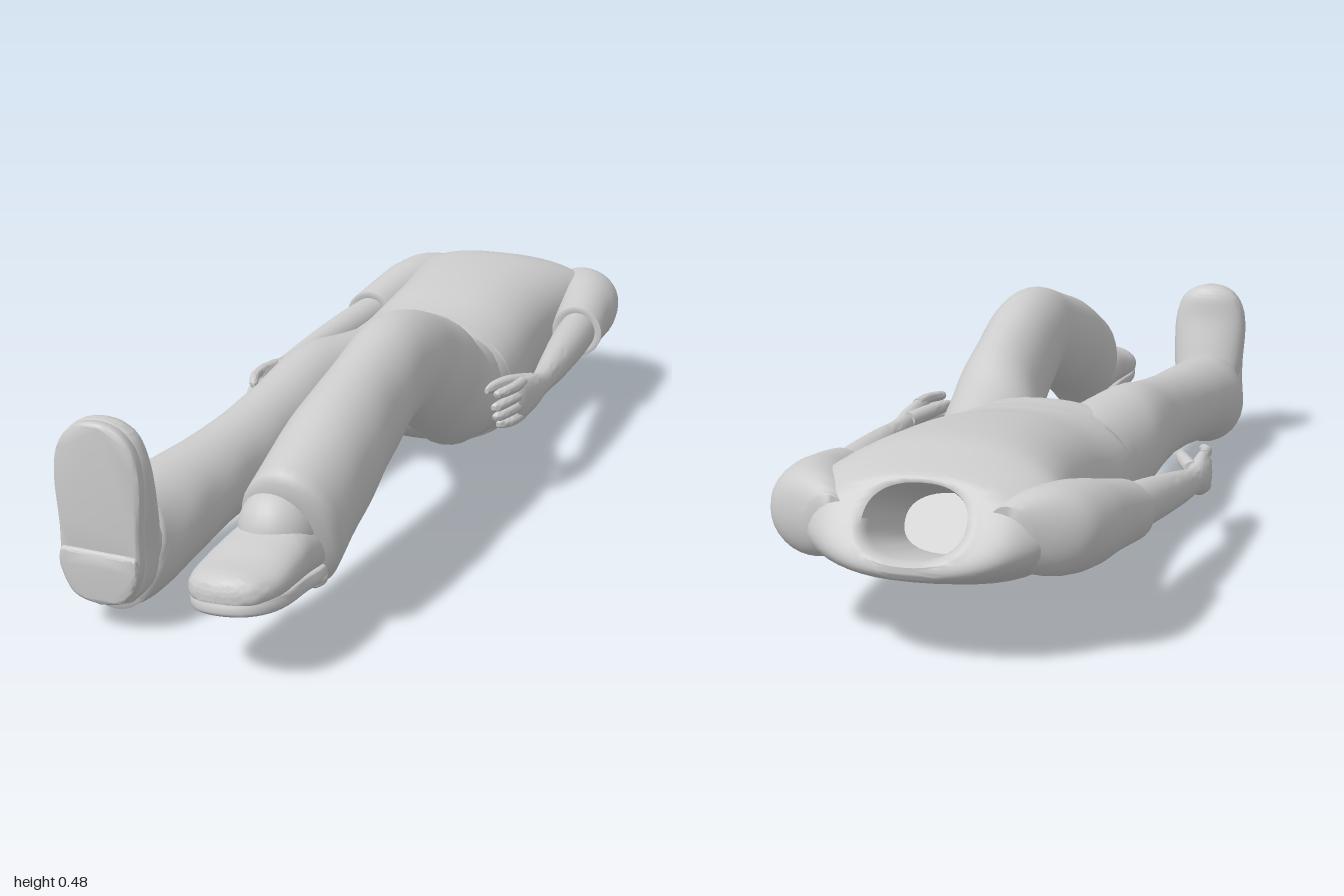
import * as THREE from 'three';
import { toCreasedNormals } from 'three/addons/utils/BufferGeometryUtils.js';

const grey = new THREE.MeshStandardMaterial({ color: 0xcccccc, side: THREE.DoubleSide });

function mesh(name, geometry) {
  const m = new THREE.Mesh(geometry, grey);
  m.name = name;
  return m;
}

// Smooth interpolation of one channel through four neighbouring stations
function spline(a, b, c, d, t) {
  const m0 = (c - a) / 2, m1 = (d - b) / 2, t2 = t * t, t3 = t2 * t;
  return (2 * t3 - 3 * t2 + 1) * b + (t3 - 2 * t2 + t) * m0 + (3 * t2 - 2 * t3) * c + (t3 - t2) * m1;
}

// Skin through oval rings. Station: [x, y, z, half width, half height, tilt about x].
// lead and hem are extra rings joined straight on, for folded-in edges.
function loft(name, stations, { sides = 32, steps = 6, power = 2, lead = [], hem = [], folds = 0 } = {}) {
  const at = i => stations[Math.min(Math.max(i, 0), stations.length - 1)];
  const rings = [...lead];
  for (let i = 0; i < stations.length - 1; i++) {
    for (let k = 0; k < steps; k++) {
      rings.push([0, 1, 2, 3, 4, 5].map(c =>
        spline(at(i - 1)[c] || 0, at(i)[c] || 0, at(i + 1)[c] || 0, at(i + 2)[c] || 0, k / steps)));
    }
  }
  rings.push(at(stations.length), ...hem);

  const pos = [], index = [];
  for (const [x, y, z, rx, ry, tilt = 0] of rings) {
    for (let j = 0; j < sides; j++) {
      const a = j / sides * Math.PI * 2, c = Math.cos(a), s = Math.sin(a);
      const f = 1 + folds * Math.sin(z * 38 + 2 * Math.sin(a * 2)) * (0.6 + 0.4 * c);
      const u = Math.sign(c) * Math.abs(c) ** (2 / power) * rx * f;
      const v = Math.sign(s) * Math.abs(s) ** (2 / power) * ry * f;
      pos.push(x + u, y + v * Math.cos(tilt), z + v * Math.sin(tilt));
    }
  }
  const last = rings.length - 1;
  for (let i = 0; i < last; i++) {
    for (let j = 0; j < sides; j++) {
      const k = (j + 1) % sides;
      const a = i * sides + j, b = i * sides + k;
      index.push(a, b, a + sides, b, b + sides, a + sides);
    }
  }
  // End caps
  const n = rings.length * sides;
  pos.push(...rings[0].slice(0, 3), ...rings[last].slice(0, 3));
  for (let j = 0; j < sides; j++) {
    const k = (j + 1) % sides;
    index.push(n, k, j, n + 1, last * sides + j, last * sides + k);
  }
  const g = new THREE.BufferGeometry();
  g.setAttribute('position', new THREE.Float32BufferAttribute(pos, 3));
  g.setIndex(index);
  return mesh(name, toCreasedNormals(g, 0.9));
}

// Flat slab from half an outline, mirrored; bottom faces down
function slab(name, half, depth, top) {
  const pts = half.concat(half.slice(1, -1).reverse().map(([x, z]) => [-x, z]));
  const curve = new THREE.SplineCurve([...pts, pts[0]].map(p => new THREE.Vector2(...p)));
  const g = new THREE.ExtrudeGeometry(new THREE.Shape(curve.getPoints(48)), {
    depth, bevelEnabled: true, bevelSize: 0.008, bevelThickness: 0.008, bevelSegments: 3,
  });
  g.rotateX(Math.PI / 2);
  g.translate(0, top, 0);
  return mesh(name, toCreasedNormals(g, 0.9));
}

// Shoe with the heel at z = 0, toe towards +z and sole at y = 0
function shoe(name, length) {
  const g = new THREE.Group();
  g.name = name;
  const stretch = length / 0.36;
  g.add(loft('shoeUpper', [
    [0, 0.042, 0, 0.05, 0.03], [0, 0.06, 0.04, 0.08, 0.05], [0, 0.066, 0.12, 0.086, 0.06],
    [0, 0.058, 0.19, 0.091, 0.052], [0, 0.046, 0.27, 0.091, 0.042], [0, 0.042, 0.325, 0.074, 0.036],
    [0, 0.04, 0.35, 0.045, 0.026], [0, 0.04, 0.359, 0.015, 0.01],
  ].map(([x, y, z, a, b]) => [x, y, z * stretch, a, b]), { power: 2.2 }));
  const outline = rows => rows.map(([x, z]) => [x, z * stretch]);
  g.add(slab('sole', outline([[0, 0.008], [0.05, 0.02], [0.075, 0.07], [0.077, 0.15], [0.083, 0.24],
    [0.074, 0.3], [0.045, 0.338], [0, 0.35]]), 0.012, 0.024));
  g.add(slab('heel', outline([[0, 0.008], [0.05, 0.02], [0.075, 0.065], [0.075, 0.095], [0.065, 0.1], [0, 0.1]]),
    0.004, 0.009));
  const ankle = mesh('ankle', new THREE.SphereGeometry(1, 24, 16));
  ankle.scale.set(0.075, 0.085, 0.08);
  ankle.position.set(0, 0.1, 0.09 * stretch);
  g.add(ankle);
  return g;
}

// Arm written for the left; place() moves every station to its side
function arm(side, place) {
  const g = new THREE.Group();
  g.name = side + 'Arm';
  const part = (name, rows, opt = {}) =>
    g.add(loft(name, rows.map(place), { ...opt, hem: (opt.hem || []).map(place) }));
  part('sleeve', [
    [0.19, 0.24, -0.935, 0.04, 0.05], [0.236, 0.238, -0.885, 0.085, 0.08], [0.264, 0.236, -0.8, 0.083, 0.084],
    [0.284, 0.233, -0.7, 0.069, 0.072], [0.297, 0.226, -0.61, 0.063, 0.063],
  ], { folds: 0.01, hem: [[0.297, 0.226, -0.607, 0.054, 0.054], [0.297, 0.226, -0.612, 0.044, 0.045]] });
  part('forearm', [
    [0.293, 0.226, -0.66, 0.046, 0.048], [0.308, 0.225, -0.5, 0.044, 0.046], [0.325, 0.223, -0.32, 0.033, 0.037],
    [0.334, 0.222, -0.2, 0.023, 0.029], [0.333, 0.222, -0.13, 0.024, 0.042], [0.328, 0.222, -0.07, 0.02, 0.049],
    [0.324, 0.222, -0.045, 0.012, 0.04],
  ], { sides: 24 });
  for (let i = 0; i < 4; i++) {
    const y = 0.26 - i * 0.025, tip = [0.025, 0.04, 0.03, 0.005][i];
    part('finger', [
      [0.33, y, -0.085, 0.012, 0.013], [0.326, y + 0.002, -0.03, 0.012, 0.012],
      [0.31, y, tip - 0.012, 0.011, 0.011], [0.304, y, tip, 0.004, 0.005],
    ], { sides: 12, steps: 4 });
  }
  part('thumb', [
    [0.325, 0.24, -0.16, 0.016, 0.018], [0.295, 0.25, -0.105, 0.016, 0.016], [0.275, 0.252, -0.05, 0.012, 0.013],
    [0.268, 0.25, -0.02, 0.005, 0.006],
  ], { sides: 12, steps: 4 });
  return g;
}

export function createModel() {
  const model = new THREE.Group();
  model.name = 'lyingFigure';

  // Shirt, open at the neck with a folded-in collar
  model.add(loft('shirt', [
    [0.025, 0.258, -0.956, 0.11, 0.083, 0.68], [0.022, 0.25, -0.945, 0.185, 0.098, 0.58],
    [0.02, 0.242, -0.87, 0.245, 0.114, 0.34], [0.02, 0.23, -0.76, 0.232, 0.137, 0.08],
    [0.02, 0.212, -0.62, 0.213, 0.152, 0], [0.02, 0.19, -0.48, 0.21, 0.159, 0],
    [0.02, 0.164, -0.36, 0.219, 0.163, 0], [0.02, 0.168, -0.26, 0.228, 0.146, 0],
  ], {
    sides: 48, power: 2.35,
    lead: [[0.022, 0.2, -0.76, 0.09, 0.06, 0.65], [0.025, 0.252, -0.93, 0.09, 0.07, 0.68],
      [0.025, 0.257, -0.95, 0.096, 0.075, 0.68]],
    hem: [[0.02, 0.169, -0.255, 0.222, 0.14, 0]],
  }));

  // Arms; the right one lies lower, spreads wider and reaches less far
  model.add(arm('left', s => s));
  model.add(arm('right', ([x, y, z, a, b]) => [
    0.032 - x - 0.06 * (z + 0.61), y - 0.08 * (z + 0.9),
    z > -0.61 ? -0.61 + (z + 0.61) * 0.92 : z, a, b]));

  // Trousers
  model.add(loft('hips', [
    [0.02, 0.165, -0.42, 0.18, 0.13], [0.02, 0.166, -0.33, 0.214, 0.154], [0.02, 0.172, -0.24, 0.228, 0.142],
    [0.017, 0.186, -0.165, 0.215, 0.124], [0.015, 0.19, -0.125, 0.16, 0.1], [0.013, 0.19, -0.1, 0.06, 0.06],
  ], { sides: 48, power: 2.3 }));
  model.add(loft('rightLeg', [
    [-0.09, 0.17, -0.28, 0.1, 0.12], [-0.11, 0.185, -0.12, 0.116, 0.122], [-0.138, 0.2, 0, 0.095, 0.115],
    [-0.142, 0.185, 0.2, 0.087, 0.1], [-0.15, 0.166, 0.4, 0.088, 0.096], [-0.165, 0.15, 0.58, 0.097, 0.104, -0.1],
    [-0.178, 0.131, 0.7, 0.102, 0.122, -0.25], [-0.18, 0.129, 0.78, 0.092, 0.121, -0.3],
  ], { folds: 0.012, hem: [[-0.18, 0.13, 0.79, 0.08, 0.108, -0.3], [-0.18, 0.135, 0.798, 0.05, 0.07, -0.3]] }));
  model.add(loft('leftLeg', [
    [0.125, 0.17, -0.28, 0.1, 0.12, 0], [0.144, 0.205, -0.12, 0.114, 0.125, -0.3], [0.156, 0.275, 0, 0.095, 0.128, -0.4],
    [0.156, 0.345, 0.15, 0.09, 0.12, -0.25], [0.155, 0.37, 0.26, 0.09, 0.112, 0.05],
    [0.157, 0.335, 0.4, 0.09, 0.115, 0.25], [0.163, 0.283, 0.58, 0.1, 0.123, 0.22],
    [0.166, 0.211, 0.755, 0.098, 0.13, 0.3],
  ], { folds: 0.012, hem: [[0.166, 0.21, 0.767, 0.086, 0.115, 0.3], [0.166, 0.21, 0.772, 0.055, 0.075, 0.3]] }));

  // Shoes: the right one points up, the left one is stretched forward
  const right = shoe('rightShoe', 0.36);
  right.position.set(-0.168, 0.055, 0.885);
  right.rotation.x = -Math.PI / 2;
  const left = shoe('leftShoe', 0.3);
  left.position.set(0.162, 0.112, 0.702);
  left.rotation.set(-0.09, -0.07, 0.08);
  model.add(right, left);
  return model;
}
